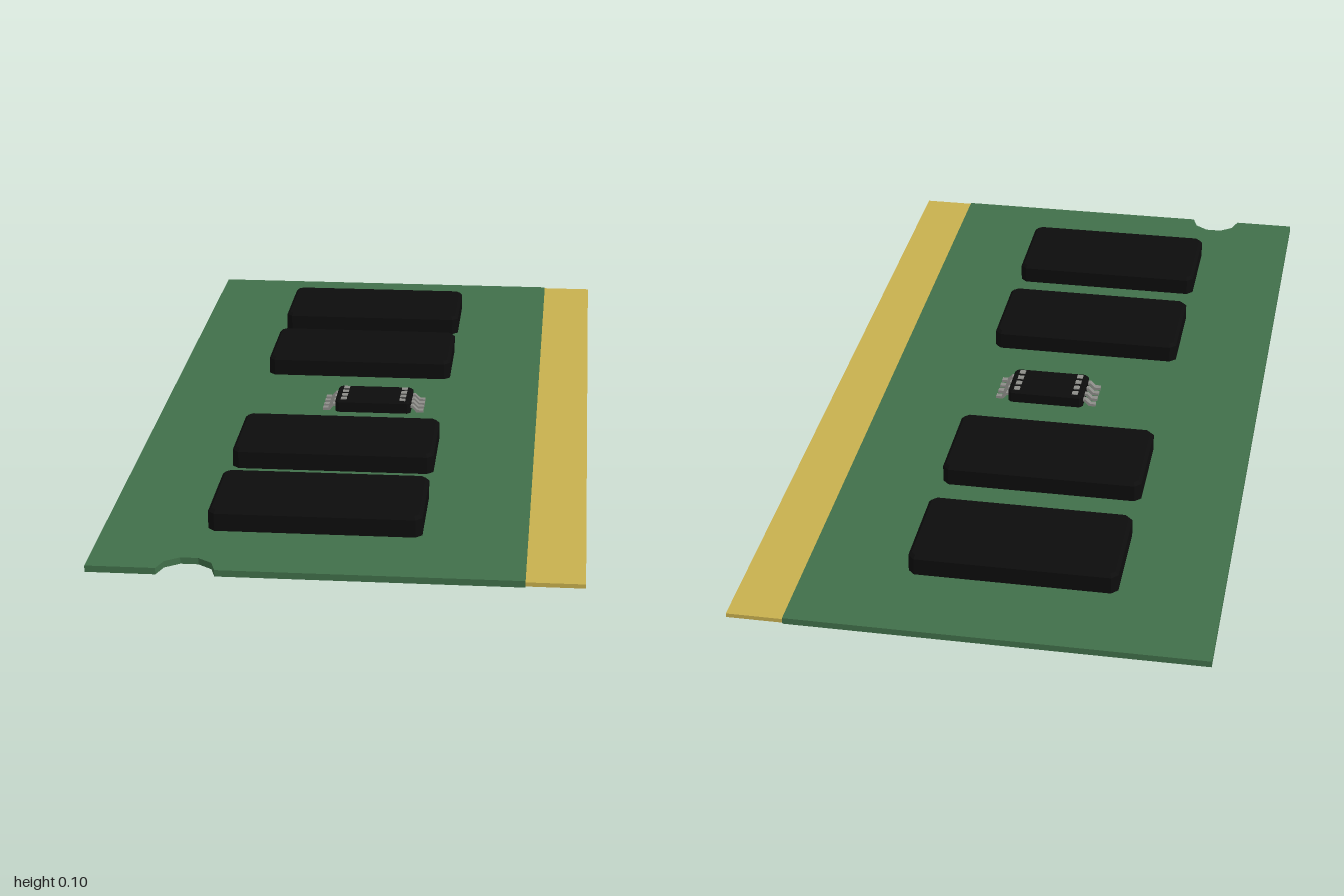
import * as THREE from 'three';

const mat = (color) => new THREE.MeshStandardMaterial({ color, flatShading: true });
const MID = 0.0525; // height of the board's middle plane

// Horizontal slab from an outline in (x, z), centred on the middle plane
function slab(name, points, height, bevel, material) {
  const geo = new THREE.ExtrudeGeometry(new THREE.Shape(points), {
    depth: height - 2 * bevel, bevelEnabled: bevel > 0,
    bevelThickness: bevel, bevelSize: bevel, bevelOffset: -bevel, bevelSegments: 1,
  });
  geo.translate(0, 0, bevel - height / 2).rotateX(Math.PI / 2);
  const mesh = new THREE.Mesh(geo, material);
  mesh.name = name;
  mesh.position.y = MID;
  return mesh;
}

// Rectangle with cut corners
function cutRect(w, d, c) {
  const x = w / 2, z = d / 2;
  return [[-x + c, -z], [x - c, -z], [x, -z + c], [x, z - c], [x - c, z], [-x + c, z], [-x, z - c], [-x, -z + c]]
    .map(([a, b]) => new THREE.Vector2(a, b));
}

// Half-round faceted notch in a short edge, side = -1 or 1
function notch(side) {
  const pts = [];
  for (let i = 0; i <= 5; i++) {
    const a = (Math.PI * i) / 5;
    pts.push(new THREE.Vector2(-0.3 + side * 0.06 * Math.cos(a), side * (1 - 0.06 * Math.sin(a))));
  }
  return pts;
}

export function createModel() {
  const model = new THREE.Group();
  model.name = 'memoryModule';
  const green = mat(0x41704a), gold = mat(0xc8b04e), black = mat(0x0d0d0d), metal = mat(0x8c8c88);

  // Circuit board with a notch at each end
  const V = (x, z) => new THREE.Vector2(x, z);
  const outline = [V(-0.505, -1), ...notch(-1).reverse(), V(0.385, -1), V(0.385, 1), ...notch(1), V(-0.505, 1)];
  model.add(slab('circuitBoard', outline, 0.014, 0, green));

  // Gold contact strip along one long edge
  const strip = new THREE.Mesh(new THREE.BoxGeometry(0.12, 0.009, 2), gold);
  strip.name = 'contactStrip';
  strip.position.set(0.445, MID, 0);
  model.add(strip);

  // Four large chips, showing on both faces
  for (const z of [-0.68, -0.32, 0.32, 0.68]) {
    const chip = slab('memoryChip', cutRect(0.45, 0.24, 0.014), 0.105, 0.007, black);
    chip.position.set(-0.06, MID, z);
    model.add(chip);
  }

  // Small controller with four bent pins per side, on both faces
  const controller = new THREE.Group();
  controller.name = 'controllerChip';
  controller.position.x = -0.004;
  controller.add(slab('controllerBody', cutRect(0.18, 0.112, 0.008), 0.07, 0.004, black));
  const profile = [V(0.08, 0.024), V(0.096, 0.024), V(0.107, 0.013), V(0.12, 0.013), V(0.12, 0.007),
    V(0.104, 0.007), V(0.094, 0.018), V(0.08, 0.018)];
  const pinGeo = new THREE.ExtrudeGeometry(new THREE.Shape(profile), { depth: 0.013, bevelEnabled: false });
  pinGeo.translate(0, 0, -0.0065);
  const studGeo = new THREE.BoxGeometry(0.014, 0.074, 0.015);
  for (const turn of [0, Math.PI]) {
    for (let i = 0; i < 4; i++) {
      const z = (i - 1.5) * 0.026;
      for (const flip of [0, Math.PI]) {
        const pin = new THREE.Mesh(pinGeo, metal);
        pin.name = 'pin';
        // half turns about x and y give the four mirrored placements
        pin.rotation.set(flip, turn, 0);
        pin.position.set(0, MID, z);
        controller.add(pin);
      }
      const stud = new THREE.Mesh(studGeo, metal);
      stud.name = 'pinStud';
      stud.position.set(turn ? -0.07 : 0.07, MID, z);
      controller.add(stud);
    }
  }
  model.add(controller);
  return model;
}
